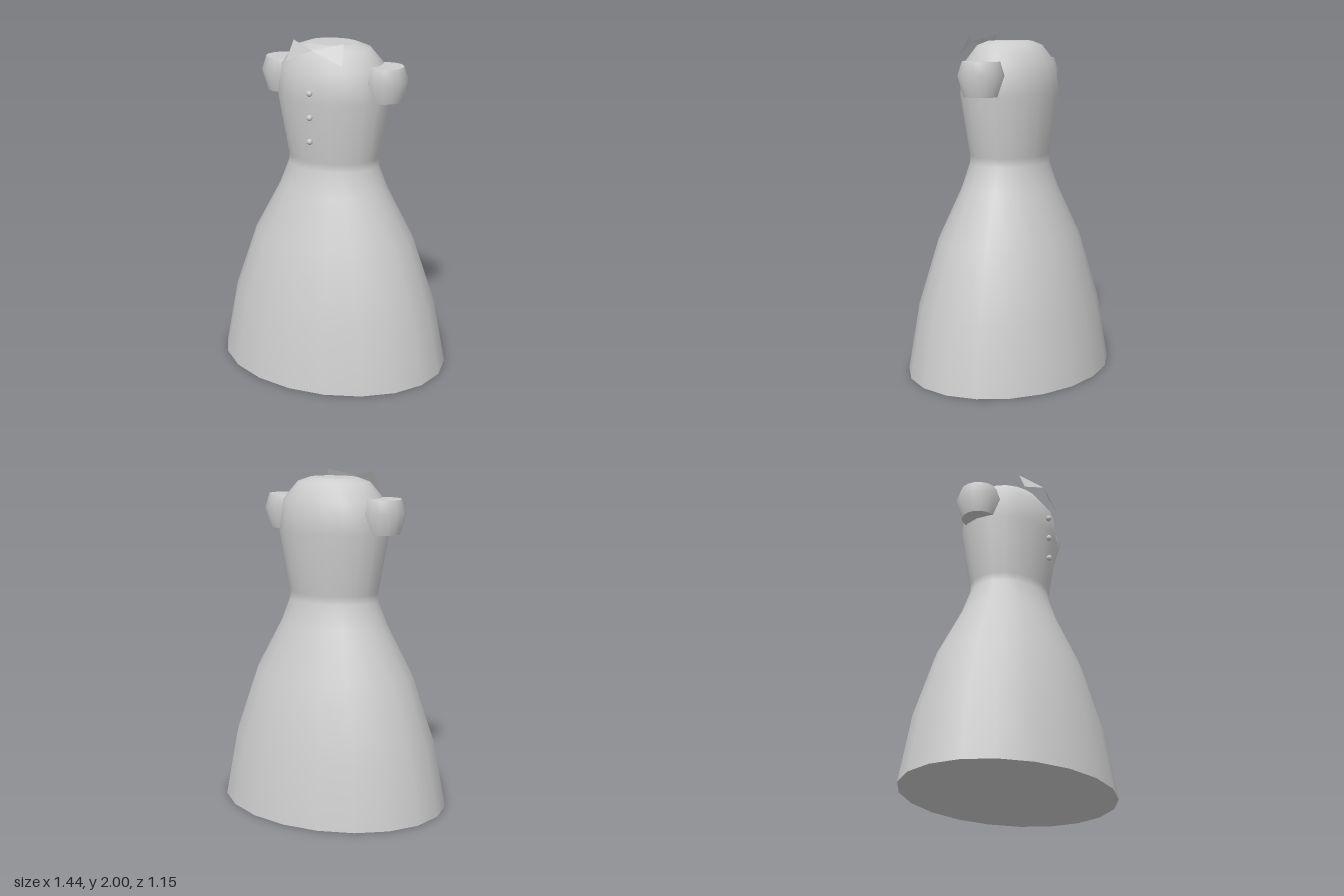
import * as THREE from 'three';

export function createModel() {
  const model = new THREE.Group();
  const cloth = new THREE.MeshStandardMaterial({ color: 0xcccccc, side: THREE.DoubleSide });
  cloth.name = 'lightGrey';

  const add = (name, geometry, parent = model) => {
    const mesh = new THREE.Mesh(geometry, cloth);
    mesh.name = name;
    parent.add(mesh);
    return mesh;
  };

  // Turned side wall with flat discs closing both ends
  const closedLathe = (name, profile, segments) => {
    const group = new THREE.Group();
    group.name = name;
    const points = profile.map(([r, y]) => new THREE.Vector2(r, y));
    add(name + 'Wall', new THREE.LatheGeometry(points, segments), group);
    const cap = (capName, [r, y], turn) => {
      const disc = new THREE.CircleGeometry(r, segments);
      disc.rotateX(turn);
      disc.translate(0, y, 0);
      add(name + capName, disc, group);
    };
    cap('Bottom', profile[0], Math.PI / 2);
    cap('Top', profile[profile.length - 1], -Math.PI / 2);
    model.add(group);
    return group;
  };

  // Gown: skirt, waist, bodice and rounded shoulders, oval in plan
  const gown = closedLathe('gown', [
    [0.718, 0], [0.64, 0.4], [0.5, 0.8], [0.338, 1.1], [0.28, 1.25], [0.28, 1.3],
    [0.345, 1.66], [0.32, 1.84], [0.225, 1.945], [0.15, 1.97],
  ], 20);
  gown.scale.z = 0.8;

  // Puffed sleeves
  for (const [side, name] of [[1, 'leftSleeve'], [-1, 'rightSleeve']]) {
    const sleeve = closedLathe(name, [[0.103, 1.66], [0.137, 1.78], [0.11, 1.86]], 16);
    sleeve.position.x = side * 0.328;
  }

  // Buttons down the front
  for (const y of [1.725, 1.585, 1.445]) {
    add('button', new THREE.SphereGeometry(0.018, 8, 6)).position.set(0, y, 0.295);
  }

  // Bow made of two tilted triangles
  for (const [side, name] of [[1, 'leftBowLoop'], [-1, 'rightBowLoop']]) {
    const knot = [0, 1.963, 0.262];
    const upper = [side * 0.16, 2, 0.185];
    const lower = [side * 0.178, 1.885, 0.24];
    const corners = side > 0 ? [knot, lower, upper] : [knot, upper, lower];
    const loop = new THREE.BufferGeometry();
    loop.setAttribute('position', new THREE.Float32BufferAttribute(corners.flat(), 3));
    loop.computeVertexNormals();
    add(name, loop);
  }

  return model;
}
